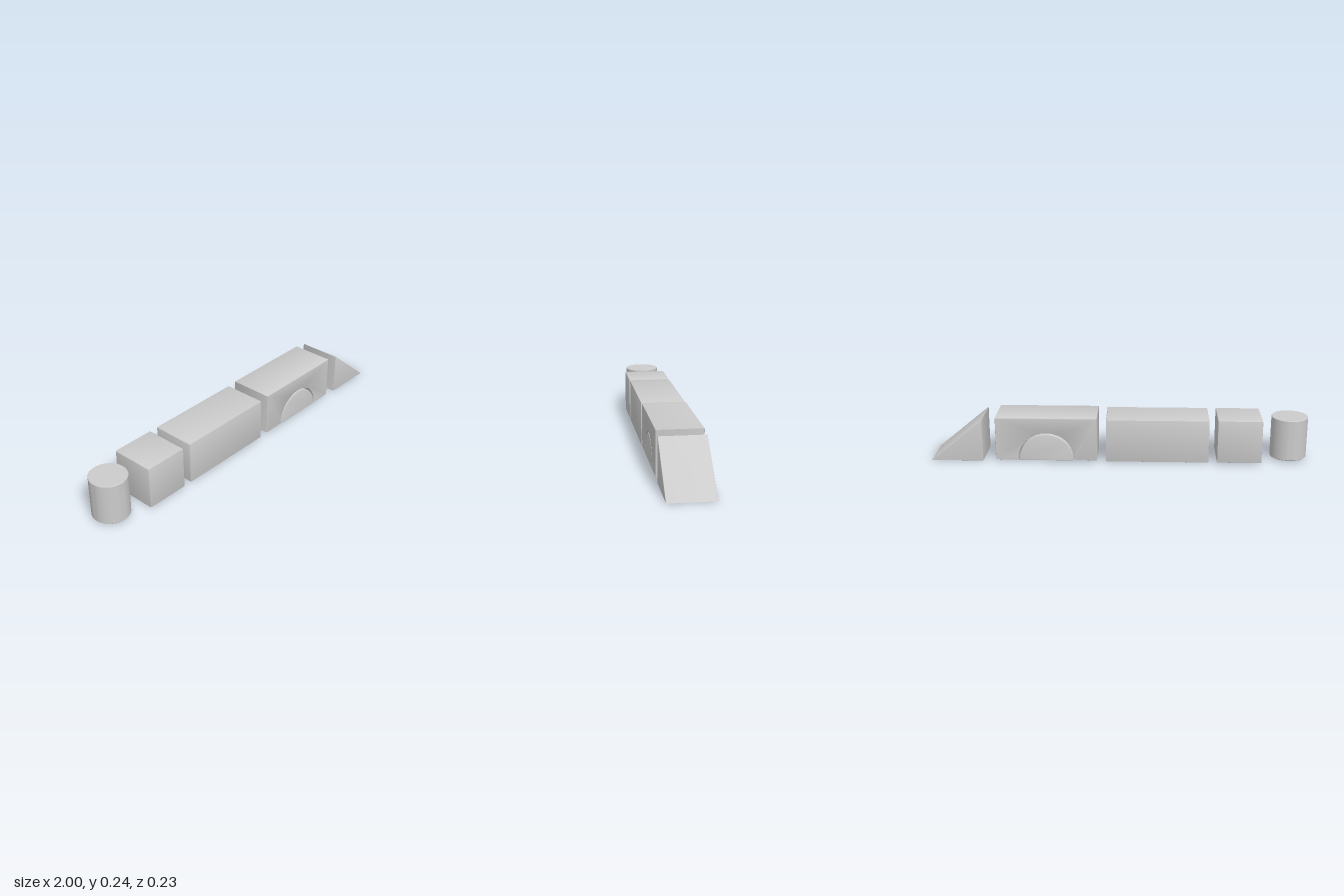
import * as THREE from 'three';
import { toCreasedNormals } from 'three/addons/utils/BufferGeometryUtils.js';

const DEPTH = 0.234;
const BEVEL = 0.004;

export function createModel() {
  const model = new THREE.Group();
  const material = new THREE.MeshStandardMaterial({ color: 0xcccccc });

  const add = (name, geometry, x, y) => {
    const mesh = new THREE.Mesh(toCreasedNormals(geometry, 0.45), material);
    mesh.name = name;
    mesh.position.set(x, y, 0);
    model.add(mesh);
  };

  // Front outline extruded along z, with softened edges, centred on z = 0
  const extrude = (shape) => new THREE.ExtrudeGeometry(shape, {
    depth: DEPTH - 2 * BEVEL, bevelEnabled: true, bevelThickness: BEVEL,
    bevelSize: BEVEL, bevelOffset: -BEVEL, bevelSegments: 2, curveSegments: 32,
  }).translate(0, 0, -DEPTH / 2 + BEVEL);

  // Outline of a rectangle standing on y = 0, with slightly rounded corners
  const blockShape = (w, h, r = 0.006) => {
    const s = new THREE.Shape();
    s.absarc(w / 2 - r, r, r, -Math.PI / 2, 0);
    s.absarc(w / 2 - r, h - r, r, 0, Math.PI / 2);
    s.absarc(-w / 2 + r, h - r, r, Math.PI / 2, Math.PI);
    s.absarc(-w / 2 + r, r, r, Math.PI, Math.PI * 1.5);
    s.closePath();
    return s;
  };
  const block = (w, h) => new THREE.ExtrudeGeometry(blockShape(w, h), {
    depth: DEPTH - 2 * BEVEL, bevelEnabled: true, bevelThickness: BEVEL,
    bevelSize: BEVEL, bevelOffset: -BEVEL, bevelSegments: 2, curveSegments: 3,
  }).translate(0, 0, -DEPTH / 2 + BEVEL);

  // Round pillar
  const R = 0.096, H = 0.222, c = 0.003;
  const profile = [[0, 0], [R - c, 0], [R, c], [R, H - c], [R - c, H], [0, H]]
    .map(([x, y]) => new THREE.Vector2(x, y));
  add('cylinderBlock', new THREE.LatheGeometry(profile, 64), -0.904, 0.009);

  // Cube and long block
  add('cubeBlock', block(0.234, 0.231), -0.635, 0.003);
  add('longBlock', block(0.542, 0.231), -0.202, 0.003);

  // Bridge with a half-round opening
  const w = 0.536, h = 0.232, r = 0.149;
  const bridge = new THREE.Shape();
  bridge.moveTo(-w / 2, 0);
  bridge.lineTo(-r, 0);
  bridge.absarc(0, 0, r, Math.PI, 0, true);
  bridge.lineTo(w / 2, 0);
  bridge.lineTo(w / 2, h);
  bridge.lineTo(-w / 2, h);
  bridge.closePath();
  add('bridgeBlock', extrude(bridge), 0.385, 0.008);

  // Half-round block nested in the opening
  const half = new THREE.Shape();
  half.absarc(0, 0, 0.144, 0, Math.PI);
  half.closePath();
  add('halfRoundBlock', extrude(half), 0.385, 0.006);

  // Wedge sloping down to the left end
  const wedge = new THREE.Shape();
  wedge.moveTo(0, 0);
  wedge.lineTo(0.278, 0);
  wedge.lineTo(0.006, 0.225);
  wedge.lineTo(0, 0.228);
  wedge.closePath();
  add('wedgeBlock', extrude(wedge), 0.722, 0);

  return model;
}
